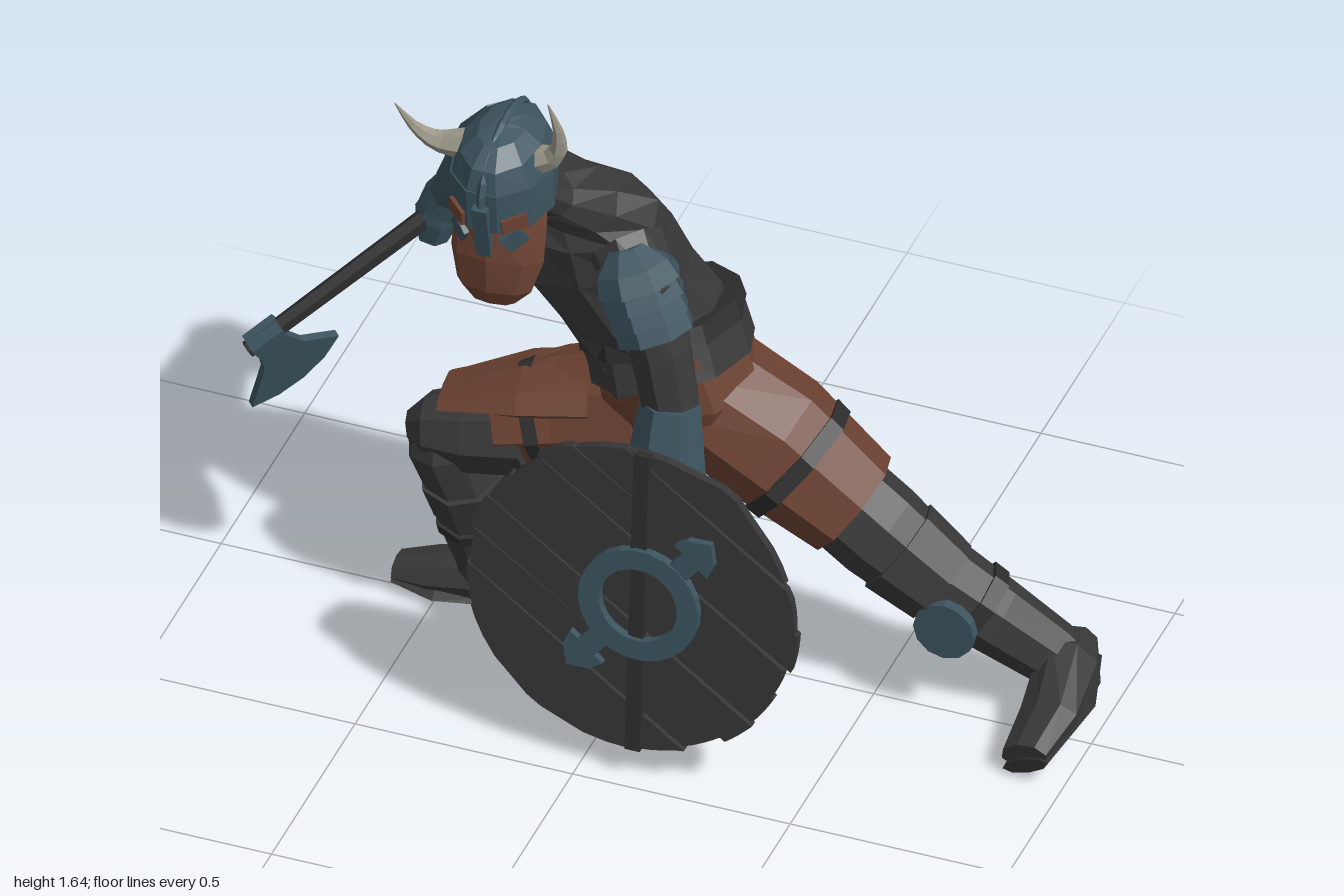
import * as THREE from 'three';

const V = (a) => new THREE.Vector3(...a);
const paint = (name, color) => {
  const m = new THREE.MeshStandardMaterial({ color });
  m.name = name;
  return m;
};

export function createModel() {
  const steel = paint('blue steel', 0x3c545f);
  const leather = paint('brown leather', 0x6c4232);
  const cloth = paint('dark cloth', 0x393939);
  const strapDark = paint('black straps', 0x2e2e2e);
  const wood = paint('shield wood', 0x363636);
  const bone = paint('horn bone', 0x9c988a);
  const root = new THREE.Group();
  root.name = 'warrior';

  // Faceted mesh with hard edges
  const add = (name, geo, mat, parent = root) => {
    const g = geo.index ? geo.toNonIndexed() : geo;
    g.computeVertexNormals();
    const m = new THREE.Mesh(g, mat);
    m.name = name;
    parent.add(m);
    return m;
  };

  // Skin over elliptical sections [x, y, z, sideRadius, otherRadius]
  const loft = (name, secs, mat, { sides = 8, ref = [1, 0, 0], ref2 = ref, parent = root } = {}) => {
    const pos = [], idx = [], n = secs.length;
    const c = secs.map((s) => V(s.slice(0, 3)));
    c.forEach((p, i) => {
      const t = c[Math.min(i + 1, n - 1)].clone().sub(c[Math.max(i - 1, 0)]).normalize();
      const side = V(ref).lerp(V(ref2), i / (n - 1));
      side.addScaledVector(t, -side.dot(t)).normalize();
      const other = t.clone().cross(side);
      const [ra, rb = ra] = secs[i].slice(3);
      for (let j = 0; j < sides; j++) {
        const a = (j / sides) * Math.PI * 2;
        const q = p.clone().addScaledVector(side, Math.cos(a) * ra).addScaledVector(other, Math.sin(a) * rb);
        pos.push(q.x, q.y, q.z);
      }
    });
    for (let i = 0; i < n - 1; i++) for (let j = 0; j < sides; j++) {
      const k = (j + 1) % sides, a = i * sides + j, b = i * sides + k;
      idx.push(a, b, a + sides, b, b + sides, a + sides);
    }
    const s = n * sides;
    pos.push(...c[0].toArray(), ...c[n - 1].toArray());
    for (let j = 0; j < sides; j++) {
      const k = (j + 1) % sides;
      idx.push(s, k, j, s + 1, s - sides + j, s - sides + k);
    }
    const g = new THREE.BufferGeometry();
    g.setAttribute('position', new THREE.Float32BufferAttribute(pos, 3));
    g.setIndex(idx);
    return add(name, g, mat, parent);
  };
  const extrude = (pts, depth) => new THREE.ExtrudeGeometry(
    new THREE.Shape(pts.map((p) => new THREE.Vector2(...p))), { depth, bevelEnabled: false });
  const box = (name, size, at, mat, parent) => {
    const m = add(name, new THREE.BoxGeometry(...size), mat, parent);
    m.position.set(...at);
    return m;
  };

  // Torso, twisted so the chest follows the shoulder line
  loft('torso', [
    [0.02, 0.78, -0.01, 0.165, 0.17], [-0.01, 0.88, 0, 0.165, 0.17], [-0.06, 0.98, 0.03, 0.172, 0.16],
    [-0.125, 1.1, 0.06, 0.21, 0.155], [-0.15, 1.19, 0.085, 0.225, 0.125], [-0.17, 1.235, 0.1, 0.175, 0.085],
    [-0.2, 1.265, 0.145, 0.085, 0.055], [-0.235, 1.35, 0.235, 0.065, 0.06],
  ], cloth, { sides: 10, ref2: [0.89, 0, 0.45] });
  loft('tunicHem', [[0.035, 0.775, -0.01, 0.182, 0.2], [0.0, 0.895, -0.025, 0.175, 0.185]], cloth, { sides: 10 });
  loft('belt', [[0.01, 0.855, -0.015, 0.186, 0.202], [-0.003, 0.9, -0.02, 0.182, 0.194]], strapDark, { sides: 10 });
  loft('hips', [
    [0.02, 0.84, -0.01, 0.17, 0.18], [0.05, 0.74, -0.01, 0.185, 0.185],
    [0.03, 0.62, -0.01, 0.16, 0.15], [0.0, 0.53, -0.01, 0.09, 0.1],
  ], leather);

  // Left leg, stretched out sideways
  const zSide = { ref: [0, 0, 1] };
  loft('leftThigh', [
    [0.06, 0.73, -0.02, 0.16, 0.13], [0.26, 0.6, -0.03, 0.155, 0.15], [0.44, 0.465, -0.04, 0.135, 0.12],
  ], leather, zSide);
  loft('leftThighStrap', [[0.3, 0.57, -0.03, 0.158, 0.15], [0.33, 0.547, -0.03, 0.156, 0.147]], strapDark, zSide);
  loft('leftBoot', [
    [0.38, 0.5, -0.04, 0.11], [0.5, 0.41, -0.04, 0.11], [0.62, 0.32, -0.045, 0.095],
    [0.75, 0.23, -0.07, 0.085], [0.87, 0.14, -0.1, 0.073], [0.91, 0.11, -0.1, 0.065],
  ], cloth, zSide);
  loft('leftBootCuff', [[0.54, 0.38, -0.04, 0.113], [0.64, 0.305, -0.046, 0.1]], cloth, zSide);
  loft('leftBootStrap', [[0.7, 0.265, -0.06, 0.097], [0.73, 0.243, -0.066, 0.095]], strapDark, zSide);
  loft('leftFoot', [
    [0.9, 0.115, -0.185, 0.045, 0.045], [0.915, 0.12, -0.09, 0.07, 0.08],
    [0.92, 0.085, 0.05, 0.075, 0.05], [0.91, 0.06, 0.17, 0.06, 0.035],
  ], cloth, { ref: [0.9, 0.42, 0] });
  loft('leftSole', [
    [0.91, 0.07, -0.19, 0.045, 0.02], [0.93, 0.055, -0.02, 0.08, 0.022], [0.915, 0.04, 0.175, 0.06, 0.018],
  ], strapDark, { ref: [0.9, 0.42, 0] });
  const disc = add('leftShinDisc', new THREE.CylinderGeometry(0.07, 0.07, 0.025, 12), steel);
  disc.rotation.x = Math.PI / 2;
  disc.position.set(0.68, 0.25, 0.04);

  // Right leg, bent at the knee
  loft('rightThigh', [
    [0, 0.64, 0, 0.16, 0.15], [-0.2, 0.59, 0.01, 0.145, 0.13], [-0.34, 0.56, 0.045, 0.125, 0.1],
  ], leather, zSide);
  loft('rightThighFlap', [
    [-0.12, 0.68, 0.02, 0.13, 0.05], [-0.28, 0.65, 0.04, 0.125, 0.045], [-0.46, 0.605, 0.07, 0.08, 0.015],
  ], leather, zSide);
  loft('rightThighStrap', [[-0.245, 0.58, 0.022, 0.146, 0.128], [-0.275, 0.572, 0.03, 0.142, 0.122]], strapDark, zSide);
  loft('rightKnee', [
    [-0.27, 0.545, 0.05, 0.125, 0.1], [-0.4, 0.52, 0.07, 0.105, 0.095], [-0.49, 0.51, 0.08, 0.08, 0.075], [-0.53, 0.5, 0.085, 0.04],
  ], cloth, zSide);
  loft('rightBoot', [
    [-0.45, 0.56, 0.08, 0.06], [-0.45, 0.48, 0.08, 0.09], [-0.42, 0.37, 0.06, 0.082],
    [-0.41, 0.24, 0.02, 0.076], [-0.4, 0.12, -0.015, 0.064], [-0.4, 0.04, -0.02, 0.063],
  ], cloth);
  loft('rightBootCuff', [[-0.42, 0.39, 0.06, 0.098], [-0.415, 0.3, 0.035, 0.085]], cloth);
  loft('rightBootStrap', [[-0.41, 0.275, 0.03, 0.087], [-0.41, 0.245, 0.02, 0.085]], strapDark);
  loft('rightFoot', [
    [-0.335, 0.055, -0.03, 0.045], [-0.42, 0.065, -0.025, 0.07, 0.06],
    [-0.52, 0.05, -0.02, 0.068, 0.04], [-0.6, 0.04, -0.015, 0.05, 0.025],
  ], cloth, zSide);
  loft('rightSole', [
    [-0.34, 0.022, -0.03, 0.05, 0.02], [-0.5, 0.02, -0.02, 0.075, 0.02], [-0.6, 0.03, -0.015, 0.05, 0.015],
  ], strapDark, zSide);

  // Arms with bracers and gloved hands
  loft('rightUpperArm', [
    [-0.27, 1.195, 0.05, 0.09], [-0.345, 1.18, -0.05, 0.088], [-0.4, 1.12, -0.18, 0.075], [-0.46, 1.03, -0.29, 0.06],
  ], cloth);
  loft('rightBracer', [
    [-0.435, 1.075, -0.26, 0.075], [-0.52, 0.95, -0.325, 0.08], [-0.62, 0.78, -0.38, 0.048], [-0.64, 0.74, -0.39, 0.055],
  ], steel, { sides: 7 });
  loft('rightHand', [[-0.635, 0.76, -0.385, 0.04], [-0.655, 0.7, -0.395, 0.052], [-0.665, 0.64, -0.39, 0.035]], steel, { sides: 6 });
  loft('leftUpperArm', [
    [0.0, 1.195, 0.18, 0.085], [0.07, 1.13, 0.24, 0.08], [0.11, 1.0, 0.26, 0.07], [0.14, 0.85, 0.27, 0.065],
  ], cloth);
  loft('leftBracer', [
    [0.14, 0.88, 0.275, 0.068], [0.14, 0.72, 0.3, 0.09], [0.13, 0.5, 0.345, 0.065],
  ], steel, { sides: 7 });
  loft('leftHand', [[0.13, 0.52, 0.345, 0.064], [0.12, 0.42, 0.365, 0.06], [0.12, 0.335, 0.37, 0.045]], steel, { sides: 6 });

  // Shoulder guards: overlapping tiers along the upper arm
  const shoulderGuard = (name, from, to, r) => {
    const at = (t) => V(from).lerp(V(to), t).toArray();
    loft(name + 'Cap', [[...at(-0.2), r * 0.45], [...at(0.05), r * 0.92], [...at(0.3), r * 1.08]], steel);
    for (let i = 1; i < 4; i++) {
      loft(name + 'Tier' + i, [[...at(i * 0.22), r * 0.92], [...at(i * 0.22 + 0.3), r * (1.07 - i * 0.03)]], steel);
    }
  };
  shoulderGuard('rightShoulderGuard', [-0.335, 1.215, 0.01], [-0.39, 1.1, -0.07], 0.09);
  shoulderGuard('leftShoulderGuard', [0.03, 1.195, 0.23], [0.1, 1.03, 0.258], 0.092);

  // Head with long beard
  loft('faceAndBeard', [
    [-0.24, 1.105, 0.35, 0.05, 0.025], [-0.24, 1.14, 0.345, 0.085, 0.05], [-0.24, 1.21, 0.325, 0.106, 0.075],
    [-0.243, 1.3, 0.29, 0.104, 0.1], [-0.245, 1.37, 0.275, 0.095, 0.095],
  ], leather);
  const helmet = new THREE.Group();
  helmet.name = 'helmet';
  helmet.position.set(-0.245, 1.42, 0.267);
  helmet.rotation.x = 0.2;
  root.add(helmet);
  loft('helmetDome', [
    [0, -0.095, 0.02, 0.113, 0.143], [0, 0.01, 0, 0.11, 0.148], [0, 0.065, -0.005, 0.088, 0.128],
    [0, 0.098, -0.01, 0.052, 0.08], [0, 0.109, -0.01, 0.015, 0.025],
  ], steel, { sides: 10, parent: helmet });
  loft('helmetBrowBand', [[0, -0.02, 0.005, 0.115, 0.151], [0, 0.005, 0, 0.114, 0.152]], steel, { sides: 10, parent: helmet });
  const crest = add('helmetCrest', new THREE.TorusGeometry(0.146, 0.011, 4, 12, Math.PI), steel, helmet);
  crest.rotation.y = Math.PI / 2;
  crest.scale.y = 0.74;
  box('noseGuard', [0.035, 0.14, 0.02], [0, -0.07, 0.152], steel, helmet);
  for (const s of [-1, 1]) {
    const eye = box('eyeOpening', [0.06, 0.034, 0.009], [s * 0.066, -0.052, 0.128], leather, helmet);
    eye.rotation.set(-0.12, s * 0.74, 0, 'YXZ');
    const cheek = box('cheekGuard', [0.05, 0.05, 0.012], [s * 0.062, -0.1, 0.13], steel, helmet);
    cheek.rotation.set(0, s * 0.74, s * 0.5, 'YXZ');
  }

  // Curved horns
  const horn = (name, pts, r) => {
    const p = new THREE.CatmullRomCurve3(pts.map(V)).getPoints(7);
    loft(name, p.map((q, i) => [q.x, q.y, q.z, r * (1 - i / 7.3)]), bone, { sides: 6, ref: [0, 0, 1] });
  };
  horn('leftHorn', [[-0.17, 1.45, 0.285], [-0.12, 1.48, 0.29], [-0.107, 1.55, 0.305], [-0.124, 1.637, 0.325]], 0.035);
  horn('rightHorn', [[-0.33, 1.45, 0.285], [-0.39, 1.45, 0.295], [-0.435, 1.485, 0.31], [-0.472, 1.555, 0.335]], 0.035);

  // Round shield of diagonal planks, some with open seams toward one end
  const shield = new THREE.Group();
  shield.name = 'shield';
  shield.position.set(0.106, 0.448, 0.415);
  shield.rotation.x = -0.075;
  root.add(shield);
  const planks = 9, R = 0.382;
  for (let i = 0; i < planks; i++) {
    const v0 = -R + (2 * R * i) / planks, v1 = -R + (2 * R * (i + 1)) / planks;
    const r = R - (i % 3) * 0.006, right = [], left = [];
    for (let k = 0; k <= 4; k++) {
      const v = v0 + ((v1 - v0) * k) / 4, h = Math.sqrt(Math.max(r * r - v * v, 0.0004));
      right.push([h, v - (k === 4 && i % 2 ? 0.007 : 0)]);
      left.unshift([-h, v - (k === 4 && i % 4 === 2 ? 0.007 : 0)]);
    }
    const m = add('shieldPlank', extrude([...right, ...left], 0.022), wood, shield);
    m.rotation.z = -0.6;
    m.position.z = -0.011 + (i % 2) * 0.004;
  }
  box('shieldBar', [0.035, 0.75, 0.02], [0.019, 0, 0.018], strapDark, shield);
  box('shieldGrip', [0.03, 0.2, 0.03], [0.019, -0.03, -0.03], strapDark, shield);

  // Shield emblem: ring with two pointers
  const emblem = new THREE.Group();
  emblem.name = 'shieldEmblem';
  emblem.position.set(0.026, 0.003, 0.018);
  emblem.rotation.z = 0.87;
  shield.add(emblem);
  const ring = new THREE.Shape().absarc(0, 0, 0.138, 0, Math.PI * 2);
  ring.holes.push(new THREE.Path().absarc(0, 0, 0.09, 0, Math.PI * 2, true));
  add('emblemRing', new THREE.ExtrudeGeometry(ring, { depth: 0.022, bevelEnabled: false, curveSegments: 12 }), steel, emblem);
  for (const turn of [0, Math.PI]) {
    const arrow = add('emblemPointer', extrude([
      [0.12, -0.025], [0.18, -0.025], [0.18, -0.05], [0.215, -0.04], [0.25, 0],
      [0.215, 0.04], [0.18, 0.05], [0.18, 0.025], [0.12, 0.025],
    ], 0.018), steel, emblem);
    arrow.rotation.z = turn;
  }

  // Axe: handle, socket and curved blade
  const butt = V([-0.57, 0.79, -0.45]), tip = V([-0.985, 0.44, -0.12]);
  loft('axeHandle', [[...butt.toArray(), 0.024], [...tip.toArray(), 0.02]], strapDark, { sides: 6 });
  const axe = new THREE.Group();
  axe.name = 'axeHead';
  const u = tip.clone().sub(butt).normalize(), v = V([0.02, -0.16, -0.095]);
  v.addScaledVector(u, -v.dot(u)).normalize();
  axe.quaternion.setFromRotationMatrix(new THREE.Matrix4().makeBasis(u, v, u.clone().cross(v)));
  axe.position.set(-0.952, 0.462, -0.148);
  root.add(axe);
  box('axeSocket', [0.08, 0.05, 0.05], [0, 0, 0], steel, axe);
  const blade = add('axeBlade', extrude([
    [-0.035, 0.02], [0.035, 0.02], [0.055, 0.09], [0.135, 0.185], [0.075, 0.208],
    [0.01, 0.212], [-0.055, 0.195], [-0.11, 0.16], [-0.05, 0.09],
  ], 0.018), steel, axe);
  blade.position.z = -0.009;
  return root;
}
